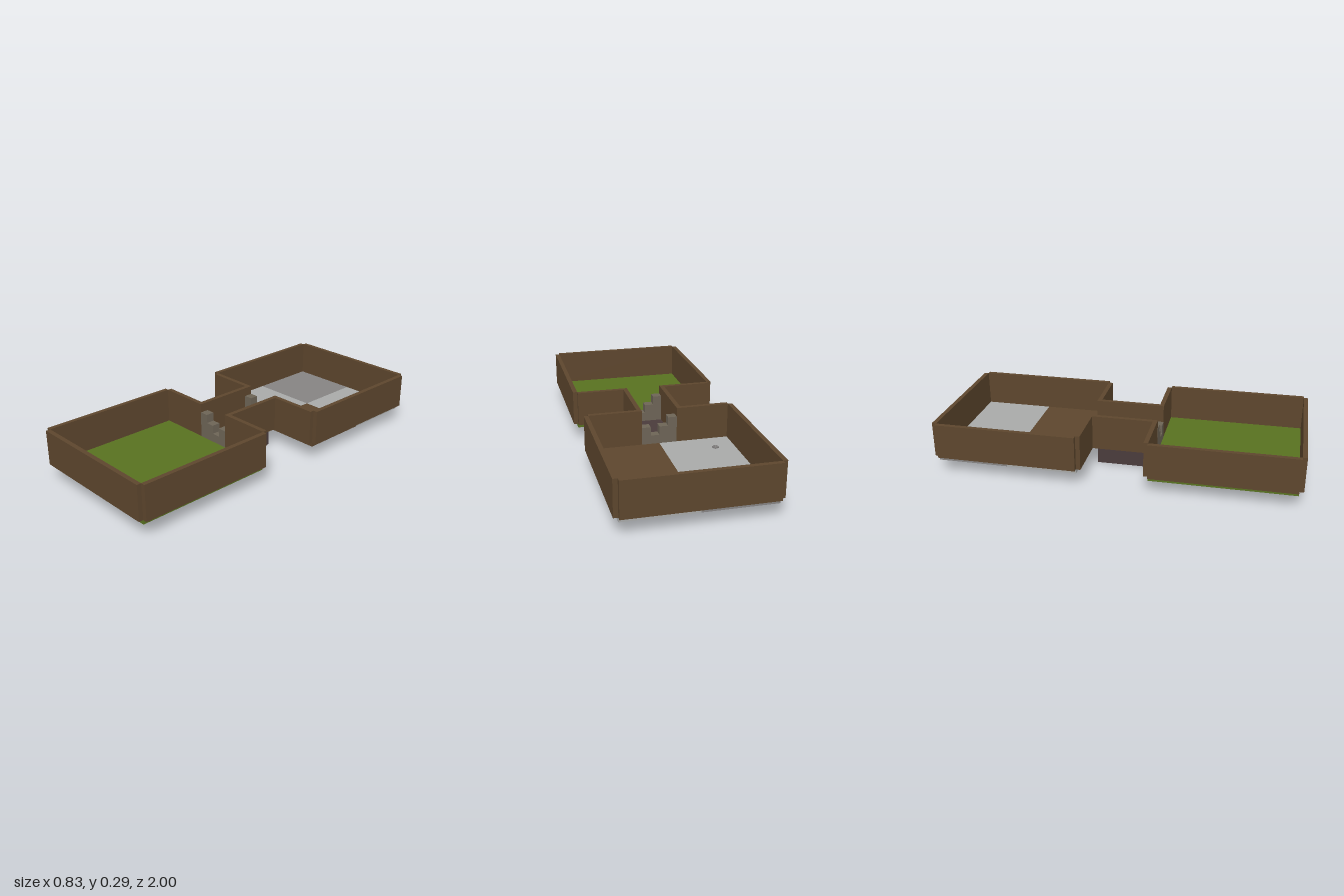
import * as THREE from 'three';

const material = (name, color) => {
  const m = new THREE.MeshStandardMaterial({ color });
  m.name = name;
  return m;
};

export function createModel() {
  const group = new THREE.Group();
  const wood = material('brown wood', 0x5d462d);
  const grass = material('grass green', 0x587120);
  const paleTile = material('pale grey', 0xa8aaa9);
  const darkTile = material('mid grey', 0x858382);
  const pitStone = material('dark plum', 0x4a3b3b);
  const rubble = material('stone grey', 0x6d6456);

  // Box given by its lower and upper corners
  const box = (name, mat, [x0, y0, z0], [x1, y1, z1], parent = group) => {
    const mesh = new THREE.Mesh(new THREE.BoxGeometry(x1 - x0, y1 - y0, z1 - z0), mat);
    mesh.position.set((x0 + x1) / 2, (y0 + y1) / 2, (z0 + z1) / 2);
    mesh.name = name;
    parent.add(mesh);
    return mesh;
  };

  const T = 0.39;                 // tile size, half of a room
  const B = 0.049;                // stone block size
  const W = 0.0245;               // wall thickness
  const near = 0.195, far = 0.975; // room extent along z
  const low = 0.074, floor = 0.098, top = 0.294;

  // Room floors: one lawn in front, four tiles at the back
  box('lawnFloor', grass, [-T, low, near], [T, floor, far]);
  box('farRightTile', darkTile, [-T, low, -far], [0, floor, -near - T]);
  box('farLeftTile', paleTile, [0, low, -far], [T, floor, -near - T]);
  box('nearRightTile', paleTile, [-T, low, -near - T], [0, floor, -near]);
  box('nearLeftTile', wood, [0, low, -near - T], [T, floor, -near]);

  // Sunken block under the passage
  box('passagePit', pitStone, [-2 * B, 0, -3 * B], [2 * B, floor, 3 * B]);

  // Wall between two z (or x) values, whichever order they come in
  const wall = (name, xa, xb, za, zb) => box(name, wood,
    [Math.min(xa, xb), floor, Math.min(za, zb)],
    [Math.max(xa, xb), top, Math.max(za, zb)]);

  for (const s of [1, -1]) {
    const room = s > 0 ? 'front' : 'back';
    wall(room + 'EndWall', -T, T, s * far, s * (far + W));
    for (const side of [1, -1]) {
      wall(room + 'SideWall', side * T, side * (T + W), s * near, s * far);
      wall(room + 'InnerWall', side * 2 * B, side * T, s * (near - W), s * near);
    }

    // Broken barricade of stone columns at each end of the passage
    const barricade = new THREE.Group();
    barricade.name = room + 'Barricade';
    [3, 2, 1, 2].forEach((h, i) => {
      const x = (i - 2) * B;
      const z = s > 0 ? 3 * B : -4 * B;
      box('stoneColumn', rubble, [x, floor, z], [x + B, floor + h * B, z + B], barricade);
    });
    group.add(barricade);
  }

  // Passage walls
  for (const side of [1, -1]) {
    wall('passageWall', side * 2 * B, side * (2 * B + W), -(near - W), near - W);
  }

  // Small scatter of pebbles on the back room floor
  const pebbles = new THREE.Group();
  pebbles.name = 'pebbles';
  for (let i = 0; i < 6; i++) {
    const r = i === 0 ? 0 : 0.012;
    const pebble = new THREE.Mesh(new THREE.BoxGeometry(0.009, 0.009, 0.009), darkTile);
    pebble.position.set(r * Math.cos(i * 1.257), 0, r * Math.sin(i * 1.257));
    pebble.rotation.y = i * 0.7;
    pebble.name = 'pebble';
    pebbles.add(pebble);
  }
  pebbles.position.set(-0.28, floor + 0.0045, -0.33);
  group.add(pebbles);

  return group;
}
